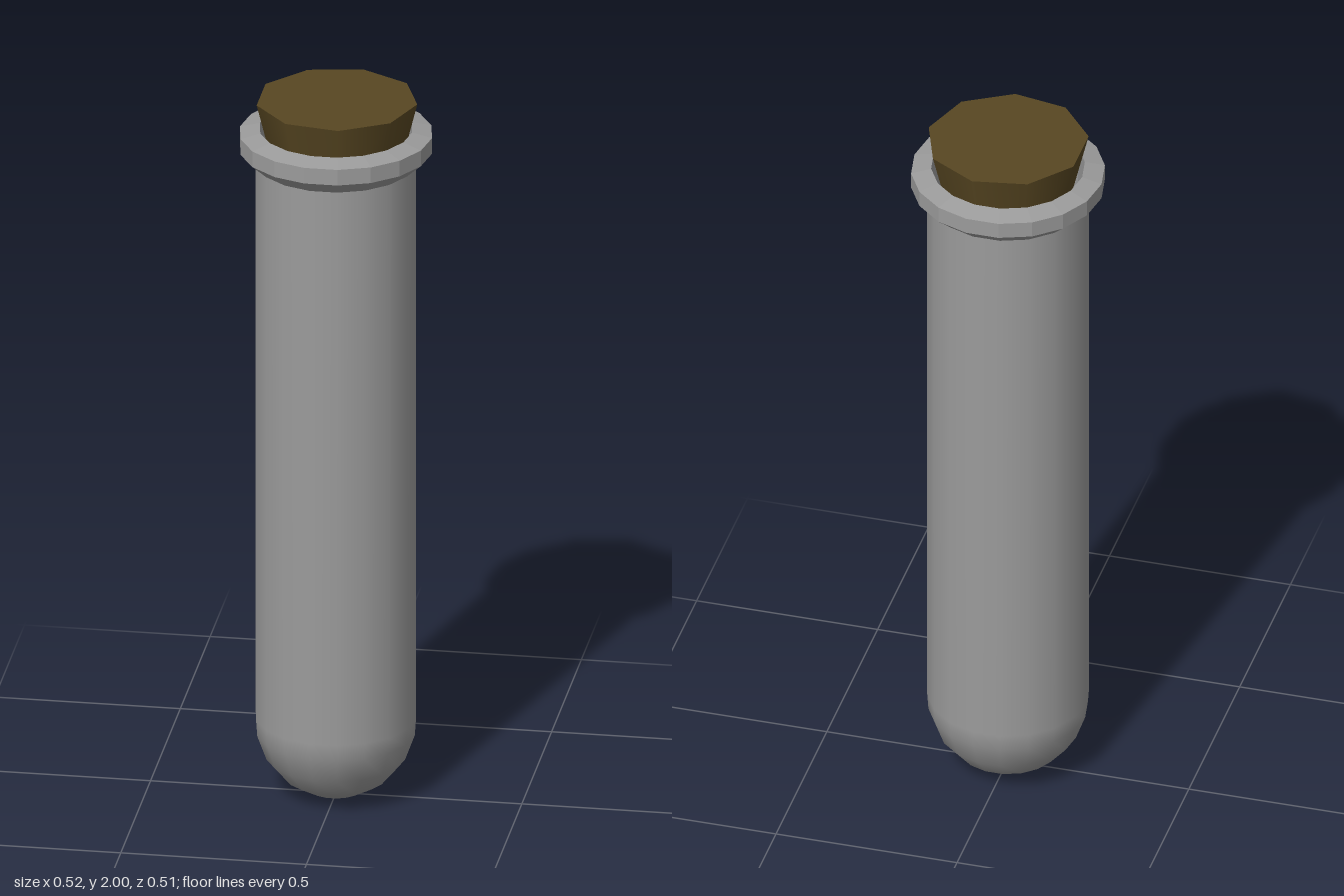
import * as THREE from 'three';

const SIDES = 18;
const GLASS = 0x9b9b9b;
const CORK = 0x584722;

// Spin a [radius, height] profile about y, with a corner on the x axis
function spin(profile) {
  const points = profile.map(([r, y]) => new THREE.Vector2(r, y));
  return new THREE.LatheGeometry(points, SIDES, Math.PI / 2);
}

function addPart(group, name, geometry, options) {
  const mesh = new THREE.Mesh(geometry, new THREE.MeshStandardMaterial(options));
  mesh.name = name;
  group.add(mesh);
  return mesh;
}

export function createModel() {
  const group = new THREE.Group();
  group.name = 'corkedTestTube';

  // Smooth tube with a rounded bottom
  const radius = 0.216;
  const tubeProfile = [];
  for (let i = 0; i <= 4; i++) {
    const a = (i * Math.PI) / 9;
    tubeProfile.push([radius * Math.sin(a), radius * (1 - Math.cos(a))]);
  }
  tubeProfile.push([radius, 0.225], [radius, 1.86]);
  const tube = addPart(group, 'tube', spin(tubeProfile), { color: GLASS, side: THREE.DoubleSide });
  tube.position.x = -0.001;

  // Faceted lip: flared underside, upright band, sloped top and inner wall
  const rimProfile = [
    [0.213, 1.819], [0.2585, 1.86], [0.2585, 1.905], [0.205, 1.918], [0.205, 1.7],
  ];
  const rimGeometry = spin(rimProfile).toNonIndexed();
  rimGeometry.computeVertexNormals();
  const rim = addPart(group, 'rim', rimGeometry,
    { color: GLASS, flatShading: true, side: THREE.DoubleSide });
  rim.position.x = -0.0005;

  // Tapered nine-sided stopper, smooth around the side
  const stopper = new THREE.CylinderGeometry(0.217, 0.167, 0.2, 9, 1, false, Math.PI / 2);
  const cork = addPart(group, 'cork', stopper, { color: CORK });
  cork.position.set(0.0015, 1.9, 0);

  return group;
}
